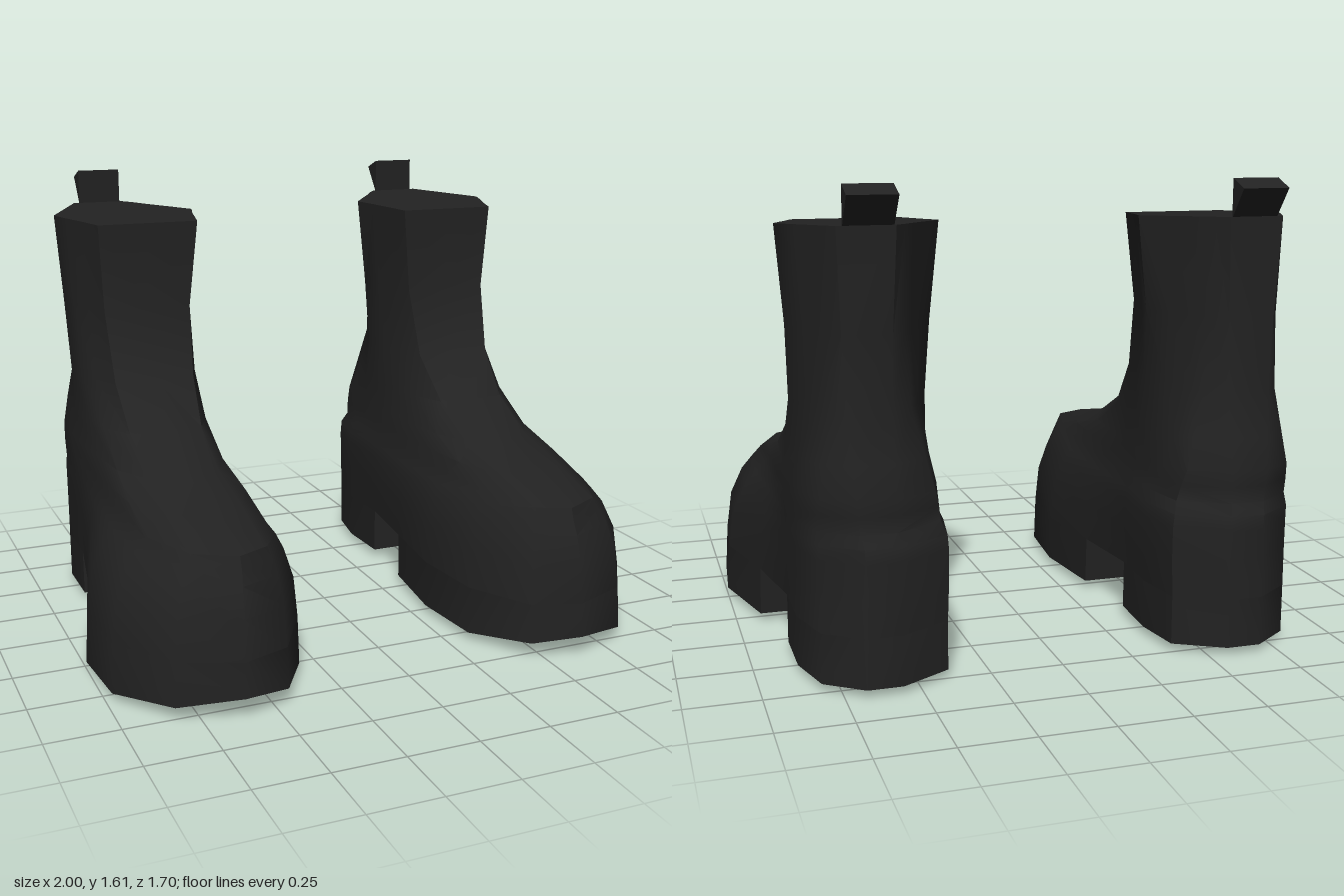
import * as THREE from 'three';
import { toCreasedNormals } from 'three/addons/utils/BufferGeometryUtils.js';

// Outline templates, from the toe tip round the outer side, heel and inner side:
// [t: 0 front to 1 back, u: 0 inner to 1 outer]
const FOOT = [
  [0, 0.46], [0.05, 0.757], [0.18, 0.97], [0.34, 1], [0.53, 1], [0.71, 1], [0.84, 1], [0.945, 0.9], [1, 0.64],
  [1, 0.4], [0.945, 0.06], [0.84, 0], [0.71, 0.02], [0.53, 0], [0.34, 0], [0.17, 0.04], [0.035, 0.22],
];
const SHAFT = [
  [0, 0.47], [0, 0.82], [0.17, 0.88], [0.34, 0.95], [0.48, 1], [0.66, 0.906], [0.82, 0.823], [0.92, 0.77], [1, 0.73],
  [1, 0.38], [0.92, 0.31], [0.82, 0.243], [0.66, 0.12], [0.5, 0], [0.34, 0.05], [0.17, 0.09], [0, 0.13],
];
// How far each point follows the heel width instead of the ball width
const HEEL_WEIGHT = [0, 0, 0, 0, 0.6, 1, 1, 1, 1, 1, 1, 1, 1, 0.6, 0, 0, 0];

// [y, front z, back z, ball inner x, ball outer x, heel inner x, heel outer x, shaft blend]
const LEVELS = [
  [0.2, 0.84, -0.835, 0.303, 0.99, 0.365, 0.86, 0],
  [0.34, 0.83, -0.835, 0.315, 0.97, 0.36, 0.86, 0],
  [0.44, 0.805, -0.835, 0.345, 0.925, 0.36, 0.86, 0],
  [0.49, 0.785, -0.835, 0.37, 0.885, 0.365, 0.86, 0],
  [0.53, 0.77, -0.81, 0.4, 0.85, 0.375, 0.865, 0.05],
  [0.585, 0.52, -0.812, 0.4, 0.85, 0.378, 0.865, 0.1],
  [0.64, 0.27, -0.815, 0.41, 0.84, 0.38, 0.865, 0.2],
  [0.745, 0.03, -0.79, 0.405, 0.845, 0.385, 0.86, 0.4],
  [0.9, -0.13, -0.765, 0.395, 0.85, 0.395, 0.85, 0.7],
  [1.15, -0.21, -0.76, 0.385, 0.86, 0.385, 0.86, 0.9],
  [1.465, -0.195, -0.775, 0.35, 0.885, 0.35, 0.885, 1],
];
const SOLE_RIM = [0.03, 0.85, -0.835, 0.3, 1, 0.365, 0.86, 0];

const lerp = THREE.MathUtils.lerp;

function ringAt([y, zf, zb, bx0, bx1, hx0, hx1, k], lift = () => 0) {
  return FOOT.map((f, i) => {
    const t = lerp(f[0], SHAFT[i][0], k);
    const u = lerp(f[1], SHAFT[i][1], k);
    const w = HEEL_WEIGHT[i];
    const x = lerp(lerp(bx0, hx0, w), lerp(bx1, hx1, w), u);
    return [x, y + lift(t), lerp(zf, zb, t)];
  });
}

const centre = (ring) => [0, 1, 2].map((a) => ring.reduce((s, p) => s + p[a], 0) / ring.length);

// Skin a stack of rings and close both ends; side -1 mirrors across x
function loft(rings, side, crease, bottomPoint) {
  const pos = [];
  const tri = (a, b, c) => {
    for (const p of side > 0 ? [a, b, c] : [a, c, b]) pos.push(p[0] * side, p[1], p[2]);
  };
  const n = rings[0].length;
  const last = rings[rings.length - 1];
  const low = bottomPoint || centre(rings[0]);
  const high = centre(last);
  for (let i = 0; i < n; i++) {
    const j = (i + 1) % n;
    for (let r = 0; r < rings.length - 1; r++) {
      const [a, b] = [rings[r], rings[r + 1]];
      tri(a[i], a[j], b[j]);
      tri(a[i], b[j], b[i]);
    }
    tri(rings[0][j], rings[0][i], low);
    tri(last[i], last[j], high);
  }
  const geo = new THREE.BufferGeometry();
  geo.setAttribute('position', new THREE.Float32BufferAttribute(pos, 3));
  geo.computeVertexNormals();
  return toCreasedNormals(geo, crease);
}

function makeBoot(side, material) {
  const boot = new THREE.Group();
  const add = (name, rings, crease, bottomPoint) => {
    const mesh = new THREE.Mesh(loft(rings, side, crease, bottomPoint), material);
    mesh.name = name;
    boot.add(mesh);
  };

  // Foot and shaft, with the rim rising slightly to the back
  const body = LEVELS.map((level, i) =>
    ringAt(level, i === LEVELS.length - 1 ? (t) => 0.02 * t : undefined));
  add('upper', body, 0.8);

  // Front sole and heel share the foot outline, with a gap between them
  const rim = ringAt(SOLE_RIM, (t) => Math.max(0, 0.05 - t * 0.6));
  const pick = (ring, ids) => ids.map((i) => ring[i]);
  const front = [13, 14, 15, 16, 0, 1, 2, 3, 4];
  const back = [5, 6, 7, 8, 9, 10, 11, 12];
  add('frontSole', [pick(rim, front), pick(body[0], front)], 0.8, [0.6, 0.003, 0.62]);
  add('heel', [pick(rim, back), pick(body[0], back)], 0.8, [0.61, 0.005, -0.55]);

  // Ridge under the arch
  const ridge = (z, y) => [[0.38, 0.2, z], [0.62, y, z], [0.86, 0.2, z]];
  add('arch', [ridge(-0.36, 0.06), ridge(-0.04, 0.08)], 0.3);

  // Pull tab on the back of the rim
  const tab = (x) => [[x, 1.48, -0.77], [x, 1.58, -0.848], [x, 1.61, -0.77]];
  add('pullTab', [tab(0.56), tab(0.72)], 0.3);
  return boot;
}

export function createModel() {
  const leather = new THREE.MeshStandardMaterial({ color: 0x222222 });
  leather.name = 'black leather';
  const model = new THREE.Group();
  model.name = 'pairOfBoots';
  for (const [name, side] of [['leftBoot', 1], ['rightBoot', -1]]) {
    const boot = makeBoot(side, leather);
    boot.name = name;
    model.add(boot);
  }
  return model;
}
